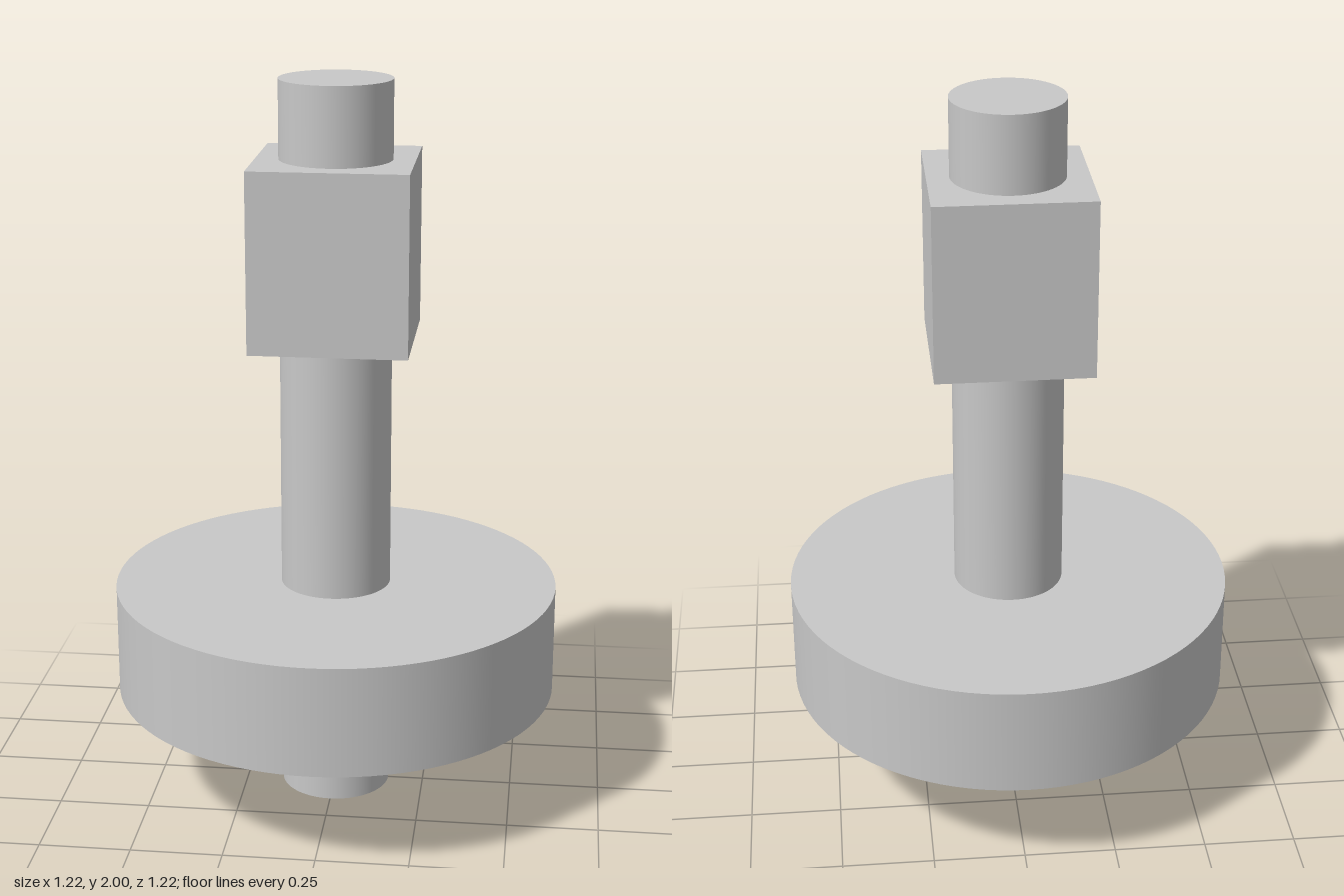
import * as THREE from 'three';

export function createModel() {
  const model = new THREE.Group();
  const grey = new THREE.MeshStandardMaterial({ color: 0xc8c8c8 });
  grey.name = 'plain grey';

  // Adds a named part spanning from bottom to top on the central axis
  function addPart(name, geometry, bottom, top) {
    const mesh = new THREE.Mesh(geometry, grey);
    mesh.name = name;
    mesh.position.y = (bottom + top) / 2;
    model.add(mesh);
  }
  const round = (radius, bottom, top) =>
    new THREE.CylinderGeometry(radius, radius, top - bottom, 96);

  // Full-length shaft
  addPart('shaft', round(0.151, 0, 2), 0, 2);

  // Wide disc near the foot
  addPart('flangeDisc', round(0.611, 0.305, 0.608), 0.305, 0.608);

  // Square block near the top
  addPart('squareBlock', new THREE.BoxGeometry(0.422, 0.484, 0.422), 1.306, 1.79);

  return model;
}
